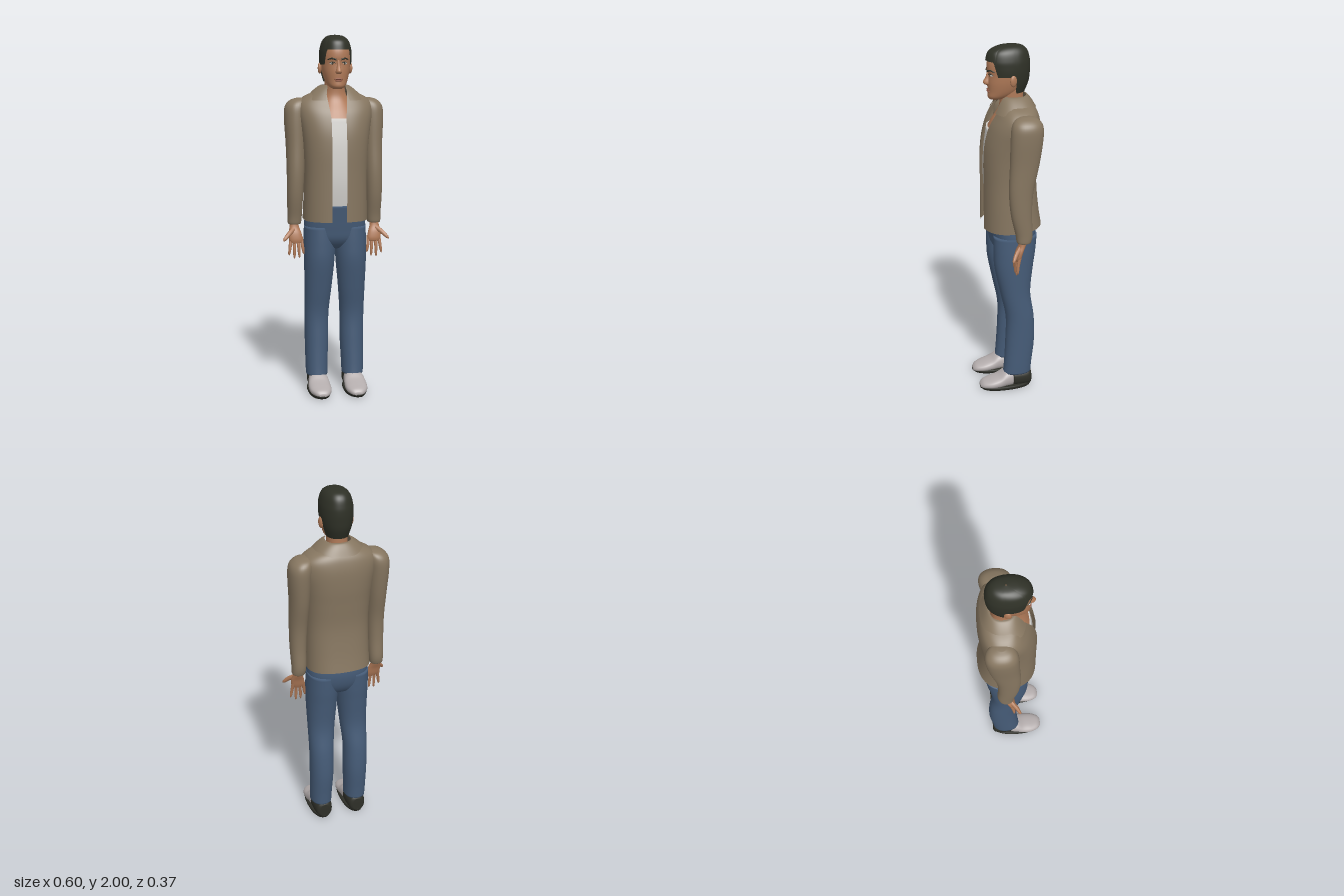
import * as THREE from 'three';

const mat = (name, color, side = THREE.FrontSide) => {
  const m = new THREE.MeshStandardMaterial({ color, side });
  m.name = name;
  return m;
};

// Smooth value between rows of numbers
function sampleRow(rows, t) {
  const n = rows.length - 1, i = Math.min(Math.floor(t), n - 1), f = t - i;
  const r = k => rows[Math.max(0, Math.min(n, k))];
  return r(i).map((_, k) => {
    const a = r(i - 1)[k], b = r(i)[k], c = r(i + 1)[k], d = r(i + 2)[k];
    return b + 0.5 * f * (c - a + f * (2 * a - 5 * b + 4 * c - d + f * (3 * (b - c) + d - a)));
  });
}

// Skin of rounded cross-sections, listed top to bottom as [y, centreX, radiusX, frontZ, backZ].
// gap(y): half width of a front opening; end(angleFromFront): last row reached at that angle.
function loft(rows, { n = 2.2, seg = 40, sub = 5, gap = null, end = null, cap = true } = {}) {
  const steps = (rows.length - 1) * sub, cols = gap ? seg + 1 : seg;
  const pos = [], idx = [];
  for (let i = 0; i <= steps; i++) {
    for (let j = 0; j < cols; j++) {
      let th = Math.PI / 2 + (j / seg) * Math.PI * 2;
      const last = end ? end(Math.acos(Math.max(-1, Math.min(1, Math.sin(th))))) : rows.length - 1;
      const [y, cx, rx, zf, zb] = sampleRow(rows, (i / steps) * last);
      if (gap) {
        const d = Math.asin(Math.min(1, Math.pow(gap(y) / rx, n / 2)));
        th = Math.PI / 2 + d + (j / seg) * (Math.PI * 2 - 2 * d);
      }
      const c = Math.cos(th), s = Math.sin(th), p = 2 / n;
      pos.push(cx + rx * Math.sign(c) * Math.abs(c) ** p, y,
        (zf + zb) / 2 + (zf - zb) / 2 * Math.sign(s) * Math.abs(s) ** p);
    }
  }
  for (let i = 0; i < steps; i++) {
    for (let j = 0; j < seg; j++) {
      const k = gap ? j + 1 : (j + 1) % seg;
      const a = i * cols + j, b = i * cols + k;
      idx.push(a, b, a + cols, b, b + cols, a + cols);
    }
  }
  if (cap && !gap && !end) {
    for (const bottom of [false, true]) {
      const r = rows[bottom ? rows.length - 1 : 0], c = pos.length / 3, o = bottom ? steps * cols : 0;
      pos.push(r[1], r[0], (r[3] + r[4]) / 2);
      for (let j = 0; j < seg; j++) {
        const a = o + j, b = o + (j + 1) % seg;
        idx.push(c, ...(bottom ? [a, b] : [b, a]));
      }
    }
  }
  const g = new THREE.BufferGeometry();
  g.setAttribute('position', new THREE.Float32BufferAttribute(pos, 3));
  g.setIndex(idx);
  g.computeVertexNormals();
  return g;
}

// Tube along points whose thickness fades and rounds off at the tip
function taper(points, r, seg = 12) {
  const curve = new THREE.CatmullRomCurve3(points.map(p => new THREE.Vector3(...p)));
  const g = new THREE.TubeGeometry(curve, seg, r, 8), p = g.attributes.position, v = new THREE.Vector3();
  for (let k = 0; k < p.count; k++) {
    const u = Math.floor(k / 9) / seg, c = curve.getPointAt(u);
    const f = (1 - 0.3 * u) * Math.sqrt(Math.max(0, 1 - u ** 8));
    v.fromBufferAttribute(p, k).sub(c).multiplyScalar(f).add(c);
    p.setXYZ(k, v.x, v.y, v.z);
  }
  g.computeVertexNormals();
  return g;
}

export function createModel() {
  const root = new THREE.Group();
  root.name = 'standingMan';
  const skin = mat('skin', 0xb07a58), hair = mat('hair', 0x2f3127, THREE.DoubleSide);
  const jacket = mat('jacket', 0x867660, THREE.DoubleSide), shirt = mat('shirt', 0xd6d4d0);
  const denim = mat('denim', 0x465c78), shoe = mat('shoe', 0xb4adad), sole = mat('sole', 0x2e2f28);
  const eyeWhite = mat('eyeWhite', 0xc8c0b8), lip = mat('lip', 0x8f5644);
  const add = (name, geo, m) => {
    const mesh = new THREE.Mesh(geo, m);
    mesh.name = name;
    root.add(mesh);
    return mesh;
  };
  const ball = (name, m, p, s) => {
    const b = add(name, new THREE.SphereGeometry(1, 20, 14), m);
    b.position.set(...p);
    b.scale.set(...s);
    return b;
  };
  const step = (a, b, x) => THREE.MathUtils.smoothstep(x, a, b);

  // Head, nose, mouth
  add('head', loft([[1.985, 0, 0.04, 0.04, -0.07], [1.96, 0, 0.064, 0.085, -0.098], [1.92, 0, 0.077, 0.107, -0.108],
    [1.88, 0, 0.079, 0.112, -0.108], [1.845, 0, 0.078, 0.107, -0.1], [1.8, 0, 0.073, 0.109, -0.09],
    [1.755, 0, 0.061, 0.107, -0.06], [1.725, 0, 0.045, 0.108, -0.01], [1.71, 0, 0.026, 0.097, 0.03]]), skin);
  add('nose', loft([[1.865, 0, 0.008, 0.11, 0.08], [1.83, 0, 0.011, 0.12, 0.08], [1.808, 0, 0.016, 0.133, 0.08],
    [1.796, 0, 0.017, 0.13, 0.08], [1.789, 0, 0.011, 0.118, 0.08]], { seg: 20 }), skin);
  ball('upperLip', lip, [0, 1.763, 0.103], [0.025, 0.005, 0.01]);
  ball('lowerLip', lip, [0, 1.754, 0.103], [0.021, 0.005, 0.01]);

  // Hair with low back, sideburns and a straight front hairline
  add('hair', loft([[2, 0, 0.003, -0.01, -0.016], [1.993, 0, 0.043, 0.05, -0.075], [1.968, 0, 0.07, 0.1, -0.105],
    [1.925, 0, 0.084, 0.117, -0.118], [1.89, 0, 0.087, 0.117, -0.121], [1.85, 0, 0.086, 0.112, -0.119],
    [1.8, 0, 0.079, 0.11, -0.112], [1.745, 0, 0.064, 0.1, -0.09]],
  { seg: 80, sub: 6, end: a => 3.1 + 2.1 * step(0.72, 0.95, a) + 1.75 * step(1.65, 1.95, a) }), hair);

  // Neck, chest and shirt
  add('neckAndChest', loft([[1.77, 0, 0.056, 0.05, -0.085], [1.7, 0, 0.056, 0.042, -0.085], [1.65, 0, 0.075, 0.05, -0.09],
    [1.59, 0, 0.11, 0.085, -0.1], [1.545, 0, 0.14, 0.107, -0.12]]), skin);
  add('shirt', loft([[1.55, 0, 0.145, 0.11, -0.12], [1.4, 0, 0.155, 0.128, -0.125], [1.2, 0, 0.155, 0.127, -0.125],
    [1.03, 0, 0.145, 0.1, -0.12]], { n: 2.5 }), shirt);

  // Open jacket and folded collar
  add('jacketBody', loft([[1.715, 0, 0.07, 0.035, -0.1], [1.695, 0, 0.1, 0.045, -0.115], [1.668, 0, 0.165, 0.058, -0.14],
    [1.63, 0, 0.205, 0.08, -0.156], [1.57, 0, 0.207, 0.112, -0.166], [1.48, 0, 0.192, 0.137, -0.166],
    [1.38, 0, 0.18, 0.146, -0.158], [1.25, 0, 0.173, 0.146, -0.151], [1.1, 0, 0.175, 0.146, -0.164],
    [0.985, 0, 0.178, 0.146, -0.182]],
  { n: 2.5, seg: 64, gap: y => 0.041 + Math.max(0, y - 1.55) * 0.12, end: a => 9 - 0.2 * step(1, 3, a) }), jacket);
  add('collar', loft([[1.728, 0, 0.068, 0.03, -0.098], [1.724, 0, 0.083, 0.042, -0.11], [1.698, 0, 0.118, 0.06, -0.13],
    [1.645, 0, 0.175, 0.088, -0.16]],
  { n: 2.4, seg: 56, gap: y => 0.05 + Math.max(0, 1.72 - y) * 0.2,
    end: a => 2.25 + 0.7 * (1 - step(0.5, 1.1, a)) + 0.3 * step(2, 2.9, a) }), jacket);

  // Hips
  add('hips', loft([[1.07, 0, 0.155, 0.126, -0.135], [1, 0, 0.167, 0.115, -0.148], [0.94, 0, 0.172, 0.106, -0.148],
    [0.88, 0, 0.168, 0.094, -0.132], [0.835, 0, 0.13, 0.06, -0.1], [0.82, 0, 0.08, 0.02, -0.06]], { n: 2.4 }), denim);

  for (const s of [1, -1]) {
    const side = s > 0 ? 'left' : 'right';
    const rows = list => list.map(([y, x, ...r]) => [y, x * s, ...r]);
    const path = list => list.map(([x, y, z]) => [x * s, y, z]);

    // Face details
    ball(side + 'Ear', skin, [0.084 * s, 1.82, -0.012], [0.011, 0.031, 0.02]).rotation.y = 0.3 * s;
    ball(side + 'Eye', eyeWhite, [0.033 * s, 1.846, 0.095], [0.015, 0.0055, 0.009]);
    ball(side + 'Iris', hair, [0.033 * s, 1.846, 0.1], [0.0055, 0.0055, 0.006]);
    add(side + 'UpperLid', taper(path([[0.017, 1.849, 0.106], [0.033, 1.854, 0.102], [0.05, 1.848, 0.088]]), 0.0025), hair);
    add(side + 'Eyebrow', taper(path([[0.012, 1.866, 0.111], [0.036, 1.873, 0.102], [0.058, 1.866, 0.082]]), 0.005), hair);

    // Sleeve
    add(side + 'Sleeve', loft(rows([[1.658, 0.185, 0.02, -0.03, -0.075], [1.645, 0.197, 0.046, 0.005, -0.115],
      [1.61, 0.211, 0.061, 0.028, -0.138], [1.54, 0.217, 0.06, 0.036, -0.138], [1.4, 0.217, 0.053, 0.04, -0.118],
      [1.25, 0.22, 0.048, 0.046, -0.086], [1.12, 0.223, 0.044, 0.036, -0.078], [1.01, 0.224, 0.04, 0.012, -0.083],
      [0.965, 0.226, 0.037, 0.005, -0.075], [0.958, 0.226, 0.03, -0.002, -0.068]])), jacket);

    // Hand with the palm turned forward
    add(side + 'Palm', loft(rows([[0.985, 0.227, 0.024, -0.012, -0.058], [0.945, 0.228, 0.026, -0.005, -0.045],
      [0.91, 0.226, 0.036, 0.008, -0.03], [0.875, 0.222, 0.038, 0.014, -0.02], [0.855, 0.22, 0.03, 0.012, -0.012]]),
    { seg: 24 }), skin);
    const fingers = [[0.192, 0.178, 0.79], [0.211, 0.203, 0.768], [0.231, 0.232, 0.765], [0.249, 0.263, 0.785]];
    fingers.forEach(([x, tip, y], i) => add(side + 'Finger' + (i + 1),
      taper(path([[x, 0.885, -0.008], [x + (tip - x) * 0.5, 0.83, 0.004], [tip, y, 0.008]]), 0.0105), skin));
    add(side + 'Thumb', taper(path([[0.235, 0.93, -0.012], [0.266, 0.905, 0.018], [0.298, 0.872, 0.042]]), 0.0145), skin);

    // Trouser leg
    add(side + 'TrouserLeg', loft(rows([[0.95, 0.088, 0.084, 0.1, -0.143], [0.85, 0.088, 0.087, 0.1, -0.134],
      [0.75, 0.09, 0.084, 0.094, -0.12], [0.6, 0.095, 0.075, 0.064, -0.106], [0.45, 0.101, 0.068, 0.034, -0.126],
      [0.3, 0.101, 0.066, 0.036, -0.13], [0.16, 0.103, 0.062, 0.044, -0.115], [0.095, 0.103, 0.06, 0.05, -0.109]])), denim);

    // Shoe, built toe to heel and then laid down along z
    const lay = (name, list, m) => { add(side + name, loft(rows(list), { n: 2.3, seg: 28 }), m).rotation.x = Math.PI / 2; };
    lay('ShoeUpper', [[0.188, 0.099, 0.02, -0.015, -0.032], [0.17, 0.1, 0.042, -0.01, -0.05], [0.13, 0.102, 0.059, -0.008, -0.063],
      [0.08, 0.103, 0.062, -0.008, -0.08], [0.04, 0.102, 0.058, -0.008, -0.107], [0, 0.101, 0.053, -0.008, -0.115]], shoe);
    lay('ShoeHeel', [[0, 0.101, 0.054, -0.006, -0.116], [-0.06, 0.101, 0.053, -0.006, -0.112],
      [-0.1, 0.101, 0.045, -0.006, -0.106], [-0.112, 0.101, 0.028, -0.012, -0.09]], sole);
    add(side + 'ShoeSole', loft(rows([[0.024, 0.102, 0.06, 0.186, -0.11], [0.014, 0.102, 0.063, 0.19, -0.113],
      [0, 0.102, 0.057, 0.175, -0.106]]), { n: 2.2, sub: 3 }), sole);
  }
  return root;
}
